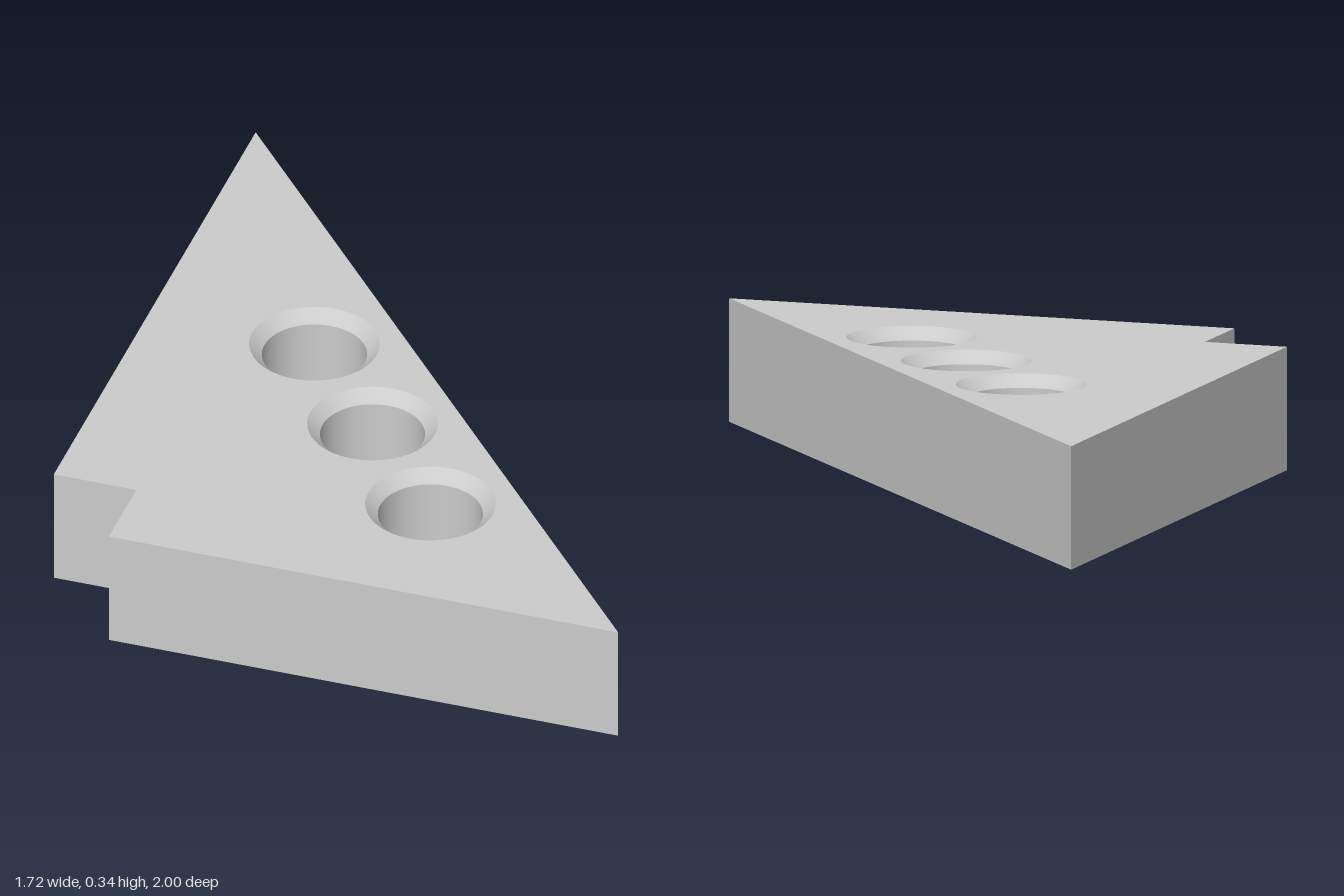
import * as THREE from 'three';
import { mergeGeometries } from 'three/addons/utils/BufferGeometryUtils.js';

const HEIGHT = 0.345;
const RADIUS = 0.145;
const CHAMFER = 0.035;
const SEGMENTS = 64;

// Plan outline as [x, z], counter-clockwise seen from above
const OUTLINE = [[-0.62, 1], [0.86, 1], [-0.86, -1], [-0.86, 0.76], [-0.62, 0.76]];
const HOLES = [[-0.38, -0.072], [-0.105, 0.247], [0.17, 0.567]];

// Flat face with three round openings; side is 1 for the top, -1 for the bottom
function cap(side) {
  const shape = new THREE.Shape(OUTLINE.map(([x, z]) => new THREE.Vector2(x, -side * z)));
  for (const [x, z] of HOLES) {
    shape.holes.push(new THREE.Path().absarc(x, -side * z, RADIUS + CHAMFER, 0, Math.PI * 2));
  }
  return new THREE.ShapeGeometry(shape, SEGMENTS / 2)
    .rotateX(-side * Math.PI / 2)
    .translate(0, side > 0 ? HEIGHT : 0, 0);
}

// Upright face along one edge of the outline
function wall([x0, z0], [x1, z1]) {
  return new THREE.PlaneGeometry(Math.hypot(x1 - x0, z1 - z0), HEIGHT)
    .rotateY(Math.atan2(z0 - z1, x1 - x0))
    .translate((x0 + x1) / 2, HEIGHT / 2, (z0 + z1) / 2);
}

// Bore lining: chamfer, straight wall, chamfer, with a crisp edge between each
function boreGeometry() {
  const wide = RADIUS + CHAMFER;
  const profile = [[wide, HEIGHT], [RADIUS, HEIGHT - CHAMFER], [RADIUS, CHAMFER], [wide, 0]]
    .map(([r, y]) => new THREE.Vector2(r, y));
  const bands = [0, 1, 2].map((i) => new THREE.LatheGeometry(profile.slice(i, i + 2), SEGMENTS));
  return mergeGeometries(bands);
}

export function createModel() {
  const model = new THREE.Group();
  model.name = 'cornerBlock';
  const material = new THREE.MeshStandardMaterial({ color: 0xcccccc });

  // Triangular block with a notched corner
  const walls = OUTLINE.map((p, i) => wall(p, OUTLINE[(i + 1) % OUTLINE.length]));
  const block = new THREE.Mesh(mergeGeometries([cap(1), cap(-1), ...walls]), material);
  block.name = 'block';
  model.add(block);

  // Row of chamfered through holes
  const lining = boreGeometry();
  HOLES.forEach(([x, z], i) => {
    const bore = new THREE.Mesh(lining, material);
    bore.name = `bore${i + 1}`;
    bore.position.set(x, 0, z);
    model.add(bore);
  });
  return model;
}
